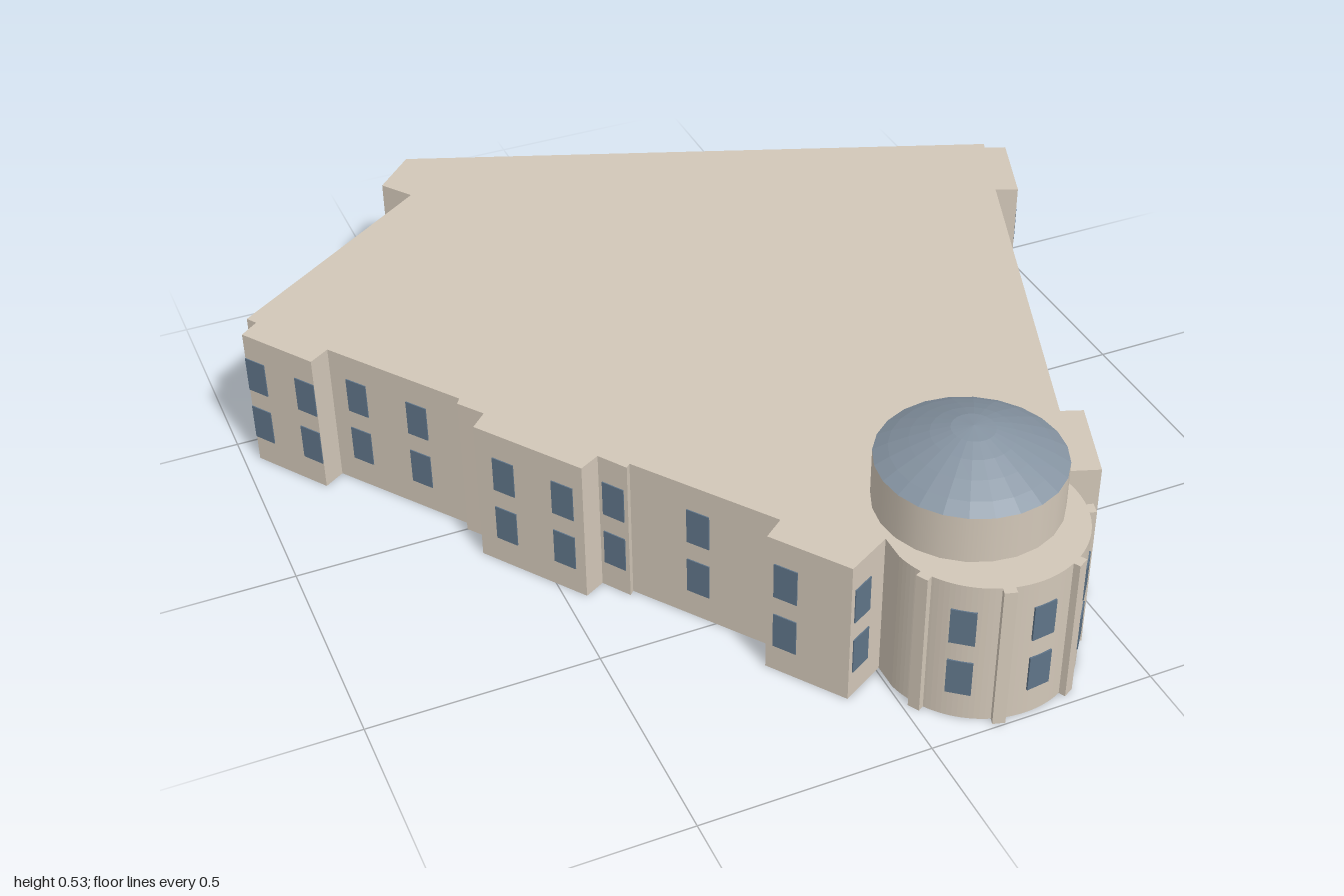
import * as THREE from 'three';

const HEIGHT = 0.343;
const wallMat = new THREE.MeshStandardMaterial({ color: 0xd2c7b8 });
const glassMat = new THREE.MeshStandardMaterial({ color: 0x5f7488 });
const domeMat = new THREE.MeshStandardMaterial({ color: 0x8593a1, flatShading: true });

// Evenly spaced window positions along a wall
const even = (n) => Array.from({ length: n }, (_, i) => (i + 0.5) / n);

// Footprint corners: x, z, window positions (0..1) on the wall to the next corner
const corners = [
  [-0.41, -1.0, even(9)],
  [0.92, -0.49], [0.912, -0.474],
  [0.96, -0.455, [0.2, 0.82]],
  [0.89, -0.27], [0.84, -0.29, [0.11, 0.29, 0.475, 0.655, 0.835]],
  [0.53, 0.535, [0.5], 0.03],
  [0.577, 0.553, [0.62]],
  [0.507, 0.74, [0.78]],
  [0.41, 0.705],
];
const cornersLeft = [
  [0.008, 0.755, [0.66]],
  [-0.09, 0.81, [0.77]],
  [-0.2, 0.655], [-0.155, 0.62, [0.54]],
  [-0.36, 0.335], [-0.37, 0.345, [0.5]],
  [-0.41, 0.285], [-0.455, 0.31, [0.19, 0.74]],
  [-0.61, 0.09], [-0.575, 0.055],
  [-0.615, 0.0], [-0.605, -0.015, [0.34, 0.8]],
  [-0.81, -0.3], [-0.855, -0.27, [0.14, 0.86]],
  [-0.965, -0.43], [-0.925, -0.462],
  [-0.94, -0.485, [0.14, 0.4, 0.67, 0.91]],
  [-0.45, -0.835], [-0.5, -0.905, [0.3]],
];

// Rotunda bay
const bay = { x: 0.215, z: 0.777, r: 0.21 };
const pilasters = [74, 29, -16, -61];
const bayPoint = (deg, r) => {
  const a = THREE.MathUtils.degToRad(deg);
  return [bay.x + r * Math.sin(a), bay.z + r * Math.cos(a)];
};

function bayOutline() {
  const points = [];
  for (let d = 106; d > -82; d -= 3) {
    if (!pilasters.some((p) => Math.abs(p - d) < 4.5)) points.push([d, bay.r]);
  }
  for (const p of pilasters) {
    points.push([p + 3.5, bay.r], [p + 3.4, bay.r + 0.015], [p - 3.4, bay.r + 0.015], [p - 3.5, bay.r]);
  }
  return points.sort((a, b) => b[0] - a[0]).map(([d, r]) => bayPoint(d, r));
}

// A stacked pair of panes, one per storey
function addWindow(group, x, z, angle, width) {
  for (const y of [0.107, 0.238]) {
    const pane = new THREE.Mesh(new THREE.BoxGeometry(width, 0.085, 0.005), glassMat);
    pane.position.set(x, y, z);
    pane.rotation.y = angle;
    pane.name = 'windowPane';
    group.add(pane);
  }
}

export function createModel() {
  const model = new THREE.Group();
  model.name = 'building';

  // Main block, extruded from the whole footprint
  const outline = [...corners, ...bayOutline(), ...cornersLeft];
  const shape = new THREE.Shape(outline.map(([x, z]) => new THREE.Vector2(x, -z)));
  const block = new THREE.ExtrudeGeometry(shape, { depth: HEIGHT, bevelEnabled: false });
  block.rotateX(-Math.PI / 2);
  const walls = new THREE.Mesh(block, wallMat);
  walls.name = 'mainBlock';
  model.add(walls);

  // Windows on the straight walls
  const windows = new THREE.Group();
  windows.name = 'windows';
  for (const list of [corners, cornersLeft]) {
    list.forEach(([x, z, spots = [], width = 0.053], i) => {
      const [nx, nz] = list[i + 1] || corners[0];
      const angle = Math.atan2(-(nz - z), nx - x);
      for (const t of spots) addWindow(windows, x + (nx - x) * t, z + (nz - z) * t, angle, width);
    });
  }

  // Windows around the rotunda bay
  for (const d of [51.5, 6.5, -38.5]) {
    const [x, z] = bayPoint(d, bay.r);
    addWindow(windows, x, z, THREE.MathUtils.degToRad(d), 0.052);
  }
  model.add(windows);

  // Drum and shallow dome on the roof
  const drum = new THREE.Mesh(new THREE.CylinderGeometry(0.195, 0.195, 0.11, 24), wallMat);
  drum.position.set(0.215, 0.395, 0.71);
  drum.name = 'domeDrum';
  model.add(drum);

  const profile = [[0.195, 0.45], [0.165, 0.468], [0.125, 0.488], [0.085, 0.506], [0.045, 0.52], [0, 0.526]];
  const dome = new THREE.Mesh(
    new THREE.LatheGeometry(profile.map(([r, y]) => new THREE.Vector2(r, y)), 24), domeMat);
  dome.position.set(0.215, 0, 0.71);
  dome.name = 'dome';
  model.add(dome);

  return model;
}
